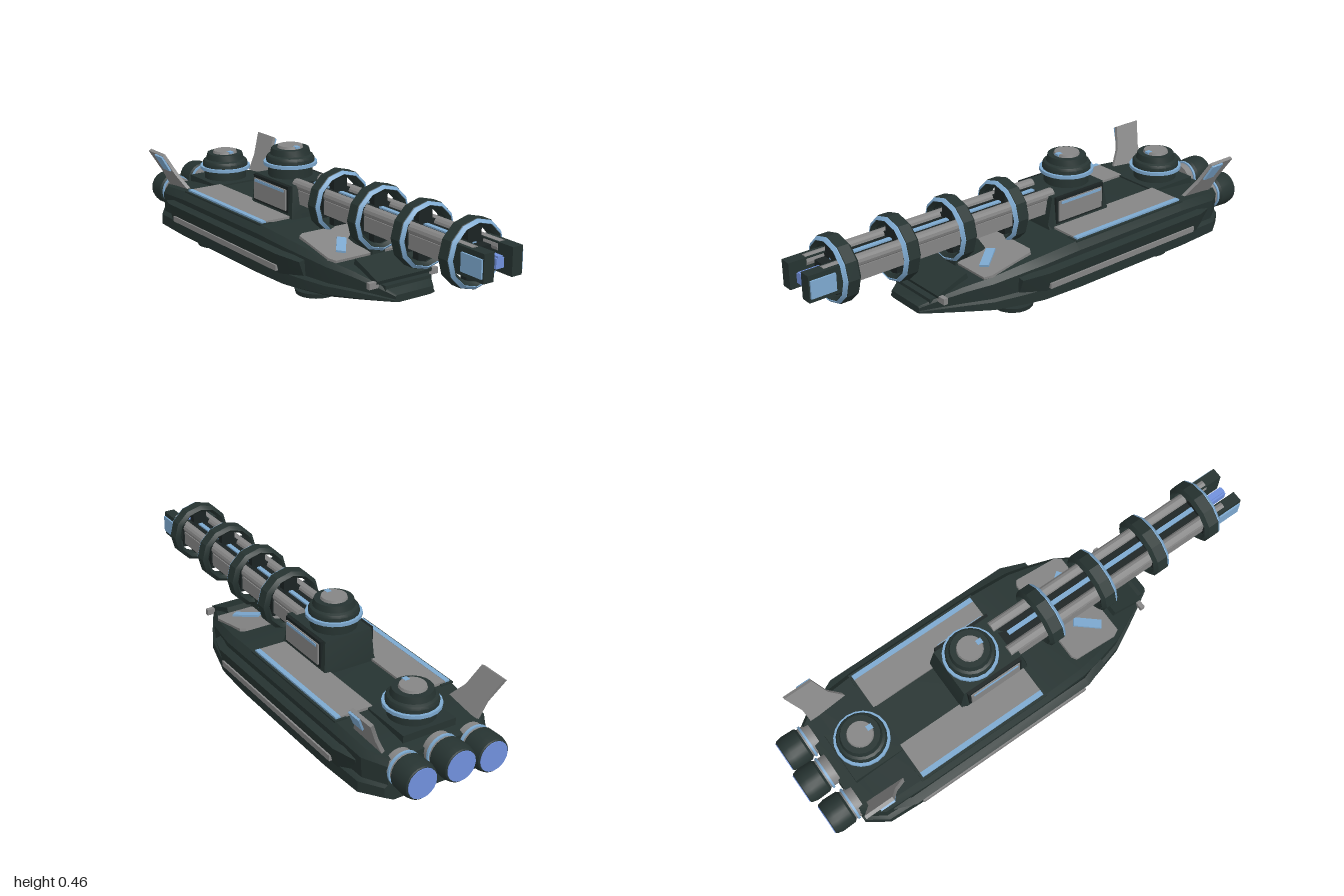
import * as THREE from 'three';
import { toCreasedNormals } from 'three/addons/utils/BufferGeometryUtils.js';

const mat = (name, color) => {
  const m = new THREE.MeshStandardMaterial({ color });
  m.name = name;
  return m;
};

export function createModel() {
  const root = new THREE.Group();
  const dark = mat('dark armour', 0x263331);
  const black = mat('black metal', 0x1b2323);
  const grey = mat('grey panel', 0x858585);
  const blue = mat('pale blue trim', 0x7da9d0);
  const glow = mat('blue glow', 0x7090dc);

  const add = (name, geo, m, parent = root) => {
    const mesh = new THREE.Mesh(toCreasedNormals(geo, 0.5), m);
    mesh.name = name;
    parent.add(mesh);
    return mesh;
  };
  // box given by its extents
  const box = (name, m, x0, x1, y0, y1, z0, z1, parent) => {
    const g = new THREE.BoxGeometry(x1 - x0, y1 - y0, z1 - z0);
    g.translate((x0 + x1) / 2, (y0 + y1) / 2, (z0 + z1) / 2);
    return add(name, g, m, parent);
  };
  // two groups, the second mirrored to -x
  const mirrored = (name, build) => {
    for (const s of [1, -1]) {
      const g = new THREE.Group();
      g.name = (s > 0 ? 'left ' : 'right ') + name;
      g.scale.x = s;
      build(g);
      root.add(g);
    }
  };
  // lathe around the z axis (profile: radius, z)
  const latheZ = (pts, n) =>
    new THREE.LatheGeometry(pts.map(p => new THREE.Vector2(...p)), n).rotateX(Math.PI / 2);
  const latheY = (pts, n) => new THREE.LatheGeometry(pts.map(p => new THREE.Vector2(...p)), n);
  // skin over equal cross-sections ordered by rising z
  const loft = (rings) => {
    const pos = [], n = rings[0].length;
    const tri = (...v) => v.forEach(p => pos.push(...p));
    for (let i = 0; i < rings.length - 1; i++)
      for (let j = 0; j < n; j++) {
        const k = (j + 1) % n;
        const a = rings[i][j], b = rings[i][k], c = rings[i + 1][k], d = rings[i + 1][j];
        tri(a, b, c); tri(a, c, d);
      }
    const f = rings[rings.length - 1], r = rings[0];
    for (let j = 1; j < n - 1; j++) { tri(f[0], f[j], f[j + 1]); tri(r[0], r[j + 1], r[j]); }
    const g = new THREE.BufferGeometry();
    g.setAttribute('position', new THREE.Float32BufferAttribute(pos, 3));
    return g;
  };

  // Hull: stations are z, half width, bottom, top
  const stations = [
    [-0.87, 0.215, 0.02, 0.185], [-0.79, 0.27, 0.015, 0.198], [-0.6, 0.28, 0.012, 0.215],
    [-0.05, 0.28, 0.012, 0.215], [0.12, 0.272, 0.014, 0.203], [0.2, 0.255, 0.018, 0.19],
    [0.32, 0.222, 0.027, 0.165], [0.41, 0.175, 0.037, 0.142], [0.5, 0.125, 0.048, 0.11],
    [0.56, 0.09, 0.056, 0.084]];
  const half = [[0.82, 0], [1, 0.13], [1, 0.36], [0.94, 0.42], [0.96, 0.86], [0.88, 1]];
  const section = [...half, ...half.slice().reverse().map(([x, y]) => [-x, y])];
  add('hull', loft(stations.map(([z, w, b, t]) =>
    section.map(([x, y]) => [x * w, b + y * (t - b), z]))), dark);

  // Nose plates and brow
  const brow = box('nose brow', dark, -0.125, 0.125, -0.012, 0.012, -0.07, 0.07);
  brow.position.set(0, 0.14, 0.435);
  brow.rotation.x = 0.36;
  box('nose step', dark, -0.105, 0.105, 0.085, 0.112, 0.4, 0.525);

  // Front deck panel with slanted stripes
  const panel = new THREE.Group();
  panel.name = 'front deck panel';
  panel.position.set(0, 0.192, 0.235);
  panel.rotation.x = 0.2;
  root.add(panel);
  const s = new THREE.Shape([[-0.2, -0.105], [-0.18, -0.118], [0.18, -0.118], [0.2, -0.105],
    [0.2, 0.08], [0.185, 0.108], [-0.185, 0.108], [-0.2, 0.08]].map(p => new THREE.Vector2(...p)));
  add('front deck plate', new THREE.ExtrudeGeometry(s, { depth: 0.012, bevelEnabled: false })
    .rotateX(Math.PI / 2), grey, panel);
  for (const d of [1, -1]) {
    const st = box('front deck stripe', blue, -0.018, 0.018, 0, 0.008, -0.055, 0.055, panel);
    st.position.set(d * 0.1, 0, 0.02);
    st.rotation.y = d * 0.65;
  }

  // Everything along the two sides
  mirrored('side fittings', g => {
    // leaning armour slab with tapered ends
    const cs = [[0.235, 0.085], [0.278, 0.078], [0.298, 0.158], [0.268, 0.166]];
    const shrink = z => cs.map(([x, y]) => [x - 0.035, 0.12 + (y - 0.12) * 0.7, z]);
    add('side armour', loft([shrink(-0.76), cs.map(p => [...p, -0.68]),
      cs.map(p => [...p, 0.12]), shrink(0.22)]), dark, g);
    box('side strip', grey, 0.27, 0.293, 0.088, 0.11, -0.65, 0.11, g);
    box('deck panel', grey, 0.09, 0.222, 0.21, 0.224, -0.61, -0.06, g);
    box('deck panel edge', blue, 0.222, 0.242, 0.216, 0.225, -0.61, -0.06, g);
    box('deck ledge', dark, 0.2, 0.252, 0.212, 0.218, -0.62, -0.05, g);
    box('nose peg', grey, 0.115, 0.157, 0.1, 0.124, 0.482, 0.5, g);

    // tail fin leaning outward
    const fin = new THREE.Group();
    fin.name = 'tail fin';
    fin.position.set(0.2, 0.215, 0);
    fin.rotation.z = -0.47;
    g.add(fin);
    const plate = (name, pts, depth, x, m) => add(name, new THREE.ExtrudeGeometry(
      new THREE.Shape(pts.map(p => new THREE.Vector2(...p))), { depth, bevelEnabled: false })
      .rotateY(Math.PI / 2).translate(x, 0, 0), m, fin);
    plate('fin blade', [[0.66, -0.02], [0.83, -0.02], [0.835, 0.05], [0.87, 0.15],
      [0.75, 0.15], [0.72, 0.06]], 0.014, 0, grey);
    plate('fin marking', [[0.735, 0.08], [0.79, 0.08], [0.81, 0.148], [0.75, 0.148]],
      0.008, 0.014, blue);

    // lift thrusters under the hull
    for (const z of [0.19, -0.52]) {
      add('lift thruster', new THREE.CylinderGeometry(0.082, 0.078, 0.018, 20)
        .translate(0.165, 0.014, z), dark, g);
      add('lift thruster glow', new THREE.CylinderGeometry(0.06, 0.06, 0.008, 20)
        .translate(0.165, 0.004, z), glow, g);
    }

    // gun rails and muzzle prong
    add('upper gun rail', new THREE.CylinderGeometry(0.022, 0.022, 1.02, 12).rotateX(Math.PI / 2)
      .translate(0.058, 0.338, 0.42), grey, g);
    box('lower gun rail', grey, 0.04, 0.076, 0.268, 0.322, -0.08, 0.9, g);
    box('muzzle prong', dark, 0.04, 0.084, 0.254, 0.356, 0.84, 1, g);
    box('prong light', blue, 0.084, 0.091, 0.27, 0.337, 0.895, 0.995, g);

    // turret cheek
    box('turret cheek frame', black, 0.09, 0.114, 0.232, 0.338, -0.31, -0.07, g);
    box('turret cheek panel', grey, 0.11, 0.12, 0.242, 0.325, -0.3, -0.08, g);
    box('turret cheek light', blue, 0.116, 0.123, 0.313, 0.323, -0.29, -0.09, g);
  });

  // Gun core, collars and support
  box('gun core', black, -0.042, 0.042, 0.275, 0.34, -0.08, 0.9);
  box('gun core light', blue, -0.009, 0.009, 0.338, 0.346, -0.05, 0.86);
  box('muzzle light', glow, -0.017, 0.017, 0.287, 0.323, 0.88, 0.985);
  box('muzzle light tip', glow, -0.01, 0.01, 0.323, 0.33, 0.88, 0.985);
  for (const z of [0.845, 0.595, 0.345, 0.1]) {
    const ring = new THREE.Group();
    ring.name = 'gun ring';
    ring.position.set(0, 0.305, z);
    root.add(ring);
    add('ring body', latheZ([[0.098, -0.022], [0.11, -0.035], [0.125, -0.022], [0.125, 0.022],
      [0.11, 0.035], [0.098, 0.022], [0.098, -0.022]], 12), dark, ring);
    add('ring trim', latheZ([[0.123, 0.021], [0.123, 0.027], [0.112, 0.0375], [0.11, 0.034]], 12),
      blue, ring);
    box('ring brace', black, -0.03, 0.03, -0.1, 0.1, -0.015, 0.015, ring);
    box('ring cross brace', black, -0.082, 0.082, -0.05, 0.05, -0.015, 0.015, ring);
  }
  add('gun support', loft([[0.22, 0.05, 0.2], [0.26, 0.045, 0.26], [0.32, 0.03, 0.27], [0.35, 0.03, 0.23]]
    .map(([z, w, t]) => [[w, 0.16, z], [w * 0.8, t, z], [-w * 0.8, t, z], [-w, 0.16, z]])), dark);

  // Turret block with sloping ends
  add('turret', loft([[-0.34, 0.235], [-0.32, 0.34], [-0.06, 0.34], [-0.04, 0.235]]
    .map(([z, t]) => [[0.115, 0.205, z], [0.1, t, z], [-0.1, t, z], [-0.115, 0.205, z]])), dark);

  // Domes on the turret and the rear deck
  for (const [z, y] of [[-0.22, 0.335], [-0.715, 0.213]]) {
    const dome = new THREE.Group();
    dome.name = 'dome';
    dome.position.set(0, y, z);
    root.add(dome);
    add('dome body', latheY([[0.088, -0.03], [0.088, 0.045], [0.095, 0.05], [0.095, 0.075],
      [0.09, 0.085], [0.08, 0.09], [0.074, 0.114], [0, 0.114]], 20), dark, dome);
    add('dome ring', latheY([[0.09, 0.048], [0.106, 0.048], [0.106, 0.061], [0.09, 0.061]], 20),
      blue, dome);
    add('dome cap', new THREE.CylinderGeometry(0.048, 0.052, 0.012, 20).translate(0, 0.118, 0),
      grey, dome);
    box('dome cap light', blue, -0.01, 0.01, 0.117, 0.125, 0.03, 0.053, dome);
  }
  box('rear dome plinth', dark, -0.11, 0.11, 0.18, 0.222, -0.82, -0.6);

  // Rear engines
  for (const [x, y, end] of [[0, 0.167, -1], [0.148, 0.145, -0.987], [-0.148, 0.145, -0.987]]) {
    const engine = new THREE.Group();
    engine.name = 'engine';
    engine.position.set(x, y, end);
    root.add(engine);
    add('engine body', latheZ([[0, 0.003], [0.06, 0.003], [0.064, 0.006], [0.07, 0.03], [0.068, 0.085],
      [0.055, 0.1], [0, 0.1]], 20), dark, engine);
    add('engine collar', new THREE.CylinderGeometry(0.06, 0.06, 0.05, 20).rotateX(Math.PI / 2)
      .translate(0, 0, 0.115), grey, engine);
    add('engine collar trim', new THREE.CylinderGeometry(0.066, 0.066, 0.009, 20)
      .rotateX(Math.PI / 2).translate(0, 0, 0.105), blue, engine);
    add('engine glow', new THREE.CylinderGeometry(0.058, 0.058, 0.008, 20).rotateX(Math.PI / 2)
      .translate(0, 0, 0.004), glow, engine);
  }
  return root;
}
